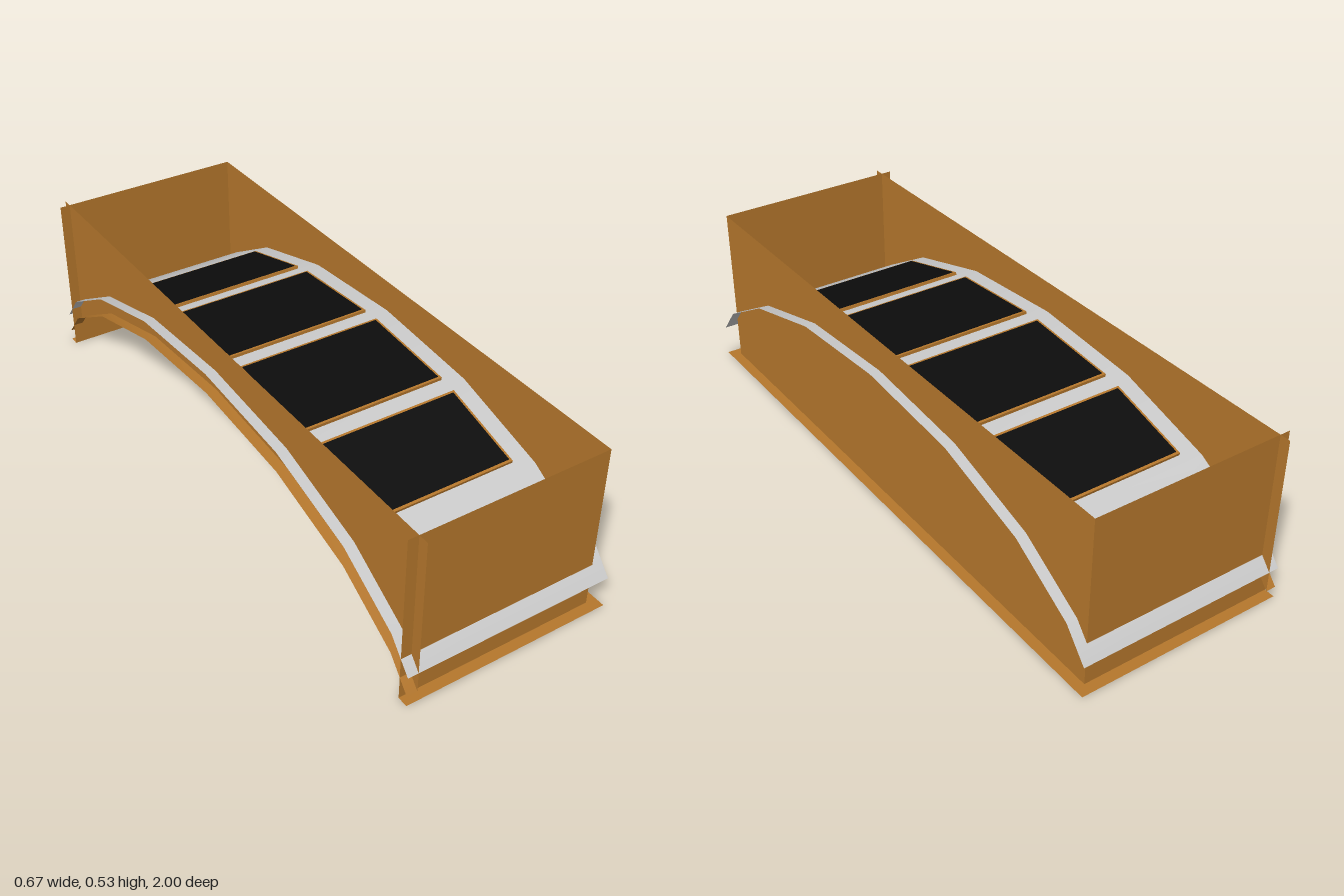
import * as THREE from 'three';

const W = 0.333, WALL_X = 0.3, WALL_Z = 0.967, TOP = 0.533;
// Half of the arch curve as [z, y]; mirrored below
const HALF = [[0, 0.433], [0.383, 0.404], [0.707, 0.315], [0.924, 0.191], [1, 0.1]];
const ARCH = [...HALF.slice(1).reverse().map(([z, y]) => [-z, y]), ...HALF];
const DROP = 0.066;

export function createModel() {
  const model = new THREE.Group();
  const side = THREE.DoubleSide;
  const wood = new THREE.MeshStandardMaterial({ color: 0xb5772c, side });
  const grey = new THREE.MeshStandardMaterial({ color: 0xcccccc, side });
  const black = new THREE.MeshStandardMaterial({ color: 0x0c0c0c });

  const add = (name, geometry, material, parent = model) => {
    const mesh = new THREE.Mesh(geometry, material);
    mesh.name = name;
    parent.add(mesh);
    return mesh;
  };

  // Strip that follows the arch between two x positions
  const archStrip = (x0, x1, dy) => {
    const pos = [], index = [];
    ARCH.forEach(([z, y], i) => {
      pos.push(x0, y + dy, z, x1, y + dy, z);
      if (i) {
        const a = 2 * i - 2;
        index.push(a, a + 2, a + 1, a + 1, a + 2, a + 3);
      }
    });
    const g = new THREE.BufferGeometry();
    g.setAttribute('position', new THREE.Float32BufferAttribute(pos, 3));
    g.setIndex(index);
    g.computeVertexNormals();
    return g;
  };

  add('archDeck', archStrip(-W, W, 0), grey);
  add('archFlange', archStrip(-W, -WALL_X, -DROP), wood);

  // Side wall with arched lower edge
  const shape = new THREE.Shape();
  shape.moveTo(-1, TOP);
  ARCH.forEach(([z, y]) => shape.lineTo(z, y - DROP));
  shape.lineTo(1, TOP);
  shape.closePath();
  const arched = new THREE.ShapeGeometry(shape);
  arched.rotateY(-Math.PI / 2);
  add('archedSideWall', arched, wood).position.x = -WALL_X;

  // Straight side wall and its bottom flange
  const straight = new THREE.PlaneGeometry(2 * WALL_Z, TOP);
  straight.rotateY(Math.PI / 2);
  add('straightSideWall', straight, wood).position.set(WALL_X, TOP / 2, 0);
  const foot = new THREE.PlaneGeometry(W - WALL_X, 2 * WALL_Z);
  foot.rotateX(-Math.PI / 2);
  add('sideFlange', foot, wood).position.set((W + WALL_X) / 2, 0, 0);

  // End walls with bottom flanges
  for (const s of [-1, 1]) {
    const end = new THREE.PlaneGeometry(W + WALL_X, TOP);
    if (s < 0) end.rotateY(Math.PI);
    add('endWall', end, wood).position.set((WALL_X - W) / 2, TOP / 2, s * WALL_Z);
    const flange = new THREE.PlaneGeometry(2 * W, 1 - WALL_Z);
    flange.rotateX(-Math.PI / 2);
    add('endFlange', flange, wood).position.set(0, 0, s * (1 + WALL_Z) / 2);
  }

  // Framed dark panels on the four middle facets of the arch
  for (let i = 2; i < 6; i++) {
    const [z0, y0] = ARCH[i], [z1, y1] = ARCH[i + 1];
    const length = Math.hypot(z1 - z0, y1 - y0) - 0.056;
    const panel = new THREE.Group();
    panel.name = 'roofPanel';
    panel.position.set(0, (y0 + y1) / 2, (z0 + z1) / 2);
    panel.rotation.x = -Math.atan2(y1 - y0, z1 - z0);
    add('panelFrame', new THREE.BoxGeometry(0.48, 0.018, length), wood, panel);
    add('panelGlass', new THREE.BoxGeometry(0.464, 0.022, length - 0.016), black, panel);
    model.add(panel);
  }
  return model;
}
